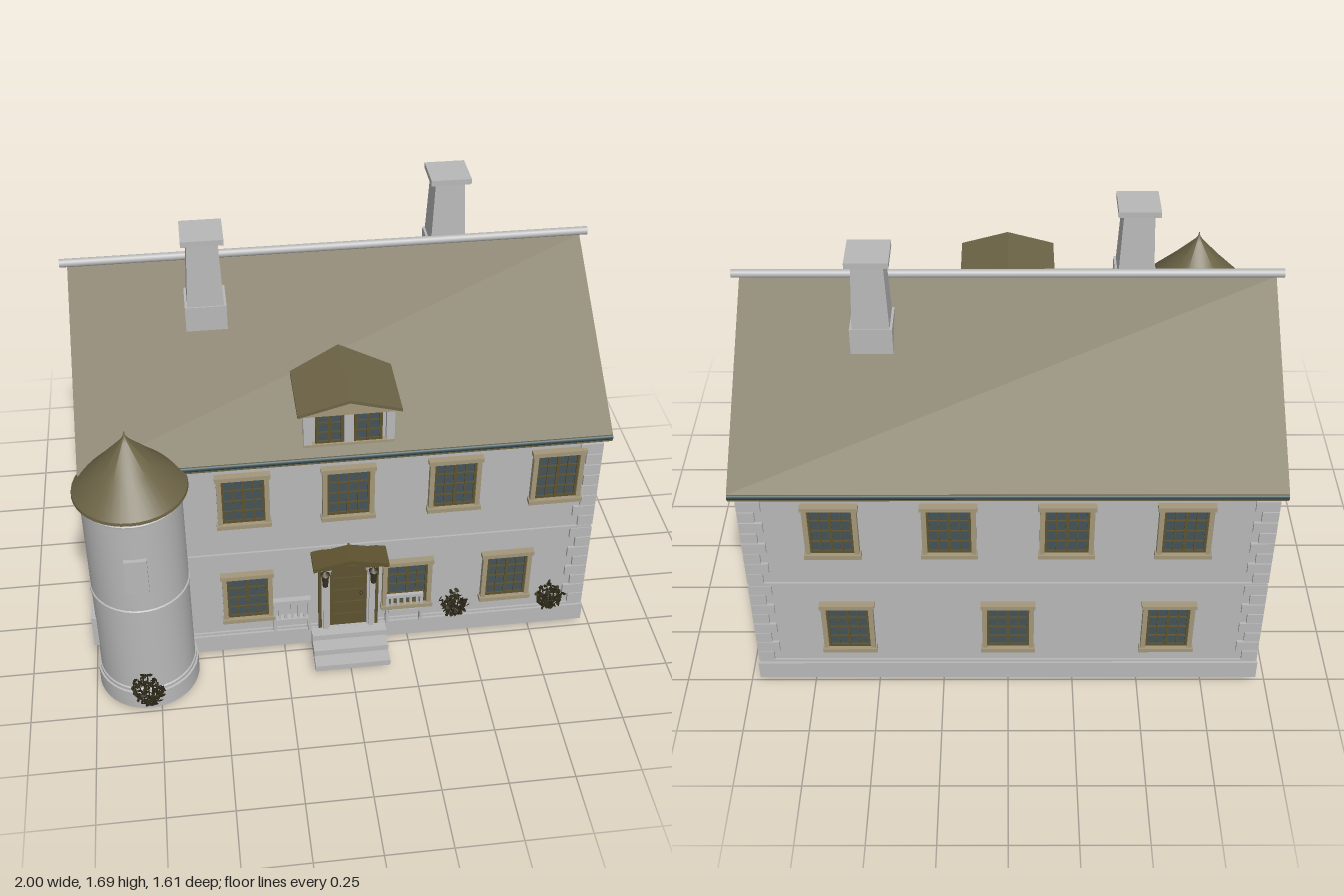
import * as THREE from 'three';
import { toCreasedNormals } from 'three/addons/utils/BufferGeometryUtils.js';

const material = (name, color, side = THREE.FrontSide) => {
  const m = new THREE.MeshStandardMaterial({ color, side });
  m.name = name;
  return m;
};
const stone = material('stone', 0xb8b8b8);
const roofing = material('roofing', 0x6c6345);
const trim = material('trim', 0xa3977a);
const wood = material('wood', 0x5d5330);
const glass = material('glass', 0x435359);
const gutterPaint = material('gutterPaint', 0x30484a);
const iron = material('iron', 0x393322);
const foliage = material('foliage', 0x2e2a19, THREE.DoubleSide);

const MID = -0.135; // z of the ridge and house centre
const WX = 0.945, WZ = 0.62; // half sizes of the walls

const add = (parent, name, geo, mat, x = 0, y = 0, z = 0) => {
  const mesh = new THREE.Mesh(geo, mat);
  mesh.name = name;
  mesh.position.set(x, y, z);
  parent.add(mesh);
  return mesh;
};
const box = (parent, name, mat, w, h, d, x, y, z) =>
  add(parent, name, new THREE.BoxGeometry(w, h, d), mat, x, y, z);
const group = (parent, name, x = 0, y = 0, z = 0, ry = 0) => {
  const g = new THREE.Group();
  g.name = name;
  g.position.set(x, y, z);
  g.rotation.y = ry;
  parent.add(g);
  return g;
};
const polygon = (pts) => new THREE.Shape(pts.map((p) => new THREE.Vector2(...p)));
const extrude = (shape, depth) =>
  new THREE.ExtrudeGeometry(shape, { depth, bevelEnabled: false, curveSegments: 16 });
const lathe = (pts) =>
  toCreasedNormals(new THREE.LatheGeometry(pts.map((p) => new THREE.Vector2(...p)), 40), 0.6);
// Gabled slab, running along z
const chevron = (w, eave, apex, t, depth) =>
  extrude(polygon([[-w, eave - t], [0, apex - t], [w, eave - t], [w, eave], [0, apex], [-w, eave]]), depth);
const arch = (w, bottom, spring) => {
  const s = new THREE.Shape();
  s.moveTo(-w, bottom);
  s.lineTo(w, bottom);
  s.lineTo(w, spring);
  s.absarc(0, spring, w, 0, Math.PI, false);
  s.closePath();
  return s;
};

// Glass pane with glazing bars, facing +z
function panes(g, w, h, cols, rows, y = 0, x = 0) {
  box(g, 'pane', glass, w, h, 0.008, x, y, 0.005);
  for (let i = 0; i <= cols; i++) {
    const t = i === 0 || i === cols || i * 2 === cols ? 0.011 : 0.005;
    box(g, 'glazingBar', wood, t, h, 0.008, x + (i / cols - 0.5) * (w - 0.008), y, 0.011);
  }
  for (let i = 0; i <= rows; i++) {
    const t = i === 0 || i === rows ? 0.011 : 0.005;
    box(g, 'glazingRail', wood, w, t, 0.0075, x, y + (i / rows - 0.5) * (h - 0.008), 0.011);
  }
}

function sashWindow(parent, x, y, z, ry) {
  const g = group(parent, 'window', x, y, z, ry);
  panes(g, 0.16, 0.205, 4, 4);
  for (const s of [-1, 1]) box(g, 'windowJamb', trim, 0.018, 0.22, 0.024, s * 0.088, 0, 0.012);
  box(g, 'windowHead', trim, 0.205, 0.018, 0.028, 0, 0.113, 0.014);
  box(g, 'windowSill', trim, 0.205, 0.018, 0.034, 0, -0.113, 0.015);
}

// Leafy plant: stems with small pointed leaves
function shrub(parent, x, y, z, height, width) {
  const g = group(parent, 'shrub', x, y, z);
  let seed = 7 + Math.round(Math.abs(x) * 100);
  const rnd = () => (seed = (seed * 16807) % 2147483647) / 2147483647;
  const leaf = new THREE.CircleGeometry(0.011, 5);
  leaf.scale(0.75, 1.2, 1);
  for (let i = 0; i < 7; i++) {
    const lean = (i / 6 - 0.5) * width, top = height * (1 - Math.abs(i - 2.5) * 0.13);
    const curve = new THREE.QuadraticBezierCurve3(
      new THREE.Vector3(lean * 0.2, 0, 0),
      new THREE.Vector3(lean * 0.8, top * 0.4, 0.008),
      new THREE.Vector3(lean, top, 0));
    add(g, 'stem', new THREE.TubeGeometry(curve, 4, 0.0025, 4), foliage);
    for (let k = 1; k <= 13; k++) {
      const p = curve.getPoint(k / 13);
      const m = add(g, 'leaf', leaf, foliage, p.x + (rnd() - 0.5) * 0.022, p.y, p.z + (rnd() - 0.5) * 0.02);
      m.rotation.set(rnd() - 0.5, (rnd() - 0.5) * 1.6, (rnd() - 0.5) * 2.4);
    }
  }
}

function chimney(parent, x, z) {
  const g = group(parent, 'chimney', x, 0, z);
  box(g, 'chimneyBase', stone, 0.152, 0.17, 0.145, 0, 1.325, 0);
  const shaft = new THREE.CylinderGeometry(0.112 / Math.SQRT2, 0.134 / Math.SQRT2, 0.26, 4);
  shaft.rotateY(Math.PI / 4);
  add(g, 'chimneyShaft', toCreasedNormals(shaft, 0.3), stone, 0, 1.54, 0);
  box(g, 'chimneyCap', stone, 0.154, 0.022, 0.154, 0, 1.678, 0);
}

function bench(parent, x, y, height) {
  const g = group(parent, 'bench', x, y, 0.49);
  for (const s of [-1, 1]) box(g, 'benchPost', stone, 0.012, height, 0.024, s * 0.068, height / 2, 0.012);
  box(g, 'benchTopRail', stone, 0.148, 0.014, 0.024, 0, height - 0.007, 0.012);
  box(g, 'benchSeat', stone, 0.13, 0.014, 0.03, 0, 0.07, 0.014);
  for (let i = -2; i <= 2; i++)
    box(g, 'benchSlat', stone, 0.01, height - 0.08, 0.01, i * 0.025, height / 2 + 0.035, 0.018);
}

export function createModel() {
  const house = new THREE.Group();
  house.name = 'house';

  // Walls with gables, plinth and bands
  const walls = extrude(polygon([[-WZ, 0.1], [WZ, 0.1], [WZ, 1.0], [0, 1.45], [-WZ, 1.0]]), WX * 2);
  walls.rotateY(Math.PI / 2);
  add(house, 'walls', walls, stone, -WX, 0, MID);
  box(house, 'foundation', stone, 1.82, 0.05, 1.175, 0, 0.025, MID);
  box(house, 'plinth', stone, 1.92, 0.08, 1.274, 0, 0.08, MID);
  for (const [y, h, o] of [[0.125, 0.01, 0.008], [0.537, 0.014, 0.008], [0.986, 0.02, 0.009]])
    box(house, 'wallBand', stone, 2 * (WX + o), h, 2 * (WZ + o), 0, y, MID);

  // Corner quoins
  for (const sx of [-1, 1]) for (const sz of [-1, 1]) for (const y0 of [0.13, 0.545])
    for (let i = 0; i < 8; i++) {
      const long = i % 2, w = long ? 0.085 : 0.06, d = long ? 0.036 : 0.06, o = 0.011;
      box(house, 'quoin', stone, w, 0.046, d, sx * (WX + o - w / 2),
        y0 + 0.026 + i * 0.0505, MID + sz * (WZ + o - d / 2));
    }

  // Main roof, ridge and gutters
  const roof = chevron(0.665, 1.015, 1.475, 0.03, 1.945);
  roof.rotateY(Math.PI / 2);
  add(house, 'roof', roof, roofing, -0.9725, 0, MID);
  const bar = (name, mat, r, len, y, z) => {
    const geo = new THREE.CylinderGeometry(r, r, len, 16);
    geo.rotateZ(Math.PI / 2);
    add(house, name, geo, mat, 0, y, z);
  };
  bar('ridge', stone, 0.016, 2, 1.49, MID);
  for (const s of [-1, 1]) bar('gutter', gutterPaint, 0.011, 1.945, 1.003, MID + s * 0.661);
  chimney(house, -0.475, 0.032);
  chimney(house, 0.483, -0.305);

  // Windows on the four sides
  const UP = 0.812, LOW = 0.32, front = MID + WZ, back = MID - WZ;
  for (const x of [-0.39, 0, 0.4, 0.79]) sashWindow(house, x, UP, front, 0);
  for (const x of [-0.39, 0.235, 0.63]) sashWindow(house, x, LOW, front, 0);
  for (const x of [-0.63, -0.21, 0.21, 0.63]) sashWindow(house, x, UP, back, Math.PI);
  for (const x of [-0.6, 0, 0.6]) sashWindow(house, x, LOW, back, Math.PI);
  for (const z of [0.062, -0.34]) {
    sashWindow(house, WX, UP, z, Math.PI / 2);
    sashWindow(house, WX, LOW, z, Math.PI / 2);
    sashWindow(house, -WX, UP, z, -Math.PI / 2);
  }
  sashWindow(house, -WX, LOW, -0.14, -Math.PI / 2);

  // Round corner tower
  const tower = group(house, 'tower', -0.79, 0, 0.573);
  add(tower, 'towerWall', lathe([[0, 0.04], [0.193, 0.04], [0.193, 0.12], [0.186, 0.122], [0.186, 0.135],
    [0.181, 0.138], [0.181, 0.53], [0.186, 0.533], [0.186, 0.544], [0.181, 0.547], [0.181, 0.94],
    [0.187, 0.945], [0.187, 0.955], [0.183, 0.96], [0.19, 0.985]]), stone);
  add(tower, 'towerRoof', lathe([[0, 0.98], [0.207, 0.98], [0.205, 0.992], [0.11, 1.09],
    [0.018, 1.192], [0.005, 1.212], [0, 1.235]]), roofing);
  box(tower, 'towerPanel', stone, 0.082, 0.15, 0.03, 0, 0.725, 0.18);
  box(tower, 'towerPanel', stone, 0.03, 0.14, 0.082, -0.18, 0.318, 0);

  // Dormer
  const dormer = group(house, 'dormer');
  box(dormer, 'dormerBody', stone, 0.3, 0.21, 0.28, 0, 1.1, 0.345);
  add(dormer, 'dormerGable', extrude(polygon([[-0.168, 1.19], [0.168, 1.19], [0, 1.242]]), 0.32), trim, 0, 0, 0.2);
  add(dormer, 'dormerRoof', chevron(0.187, 1.206, 1.258, 0.013, 0.358), roofing, 0, 0, 0.17);
  const dormerFront = group(dormer, 'dormerWindows', 0, 1.122, 0.485);
  for (const s of [-1, 1]) {
    panes(dormerFront, 0.1, 0.135, 2, 3, 0, s * 0.07);
    box(dormerFront, 'dormerPost', stone, 0.03, 0.15, 0.022, s * 0.15, 0, 0.01);
  }
  box(dormerFront, 'dormerPost', stone, 0.034, 0.15, 0.02, 0, 0, 0.01);
  box(dormerFront, 'dormerSill', trim, 0.33, 0.01, 0.024, 0, -0.073, 0.01);

  // Entrance: arched door, surround, canopy, lamps and steps
  const entrance = group(house, 'entrance', 0.003, 0, front);
  const surround = polygon([[-0.115, 0.12], [0.115, 0.12], [0.115, 0.5], [-0.115, 0.5]]);
  surround.holes.push(arch(0.073, 0.12, 0.39));
  add(entrance, 'doorSurround', extrude(surround, 0.018), stone);
  const ring = new THREE.TorusGeometry(0.083, 0.009, 6, 24, Math.PI);
  add(entrance, 'doorArch', ring, stone, 0, 0.39, 0.018);
  add(entrance, 'door', extrude(arch(0.073, 0.12, 0.39), 0.01), wood);
  for (let i = 0; i < 4; i++) box(entrance, 'doorBatten', wood, 0.12, 0.006, 0.006, 0, 0.18 + i * 0.065, 0.012);
  add(entrance, 'doorKnob', new THREE.SphereGeometry(0.007, 10, 8), iron, 0.05, 0.29, 0.016);
  add(entrance, 'canopyRoof', chevron(0.145, 0.515, 0.545, 0.018, 0.1), wood);
  box(entrance, 'canopyBeam', wood, 0.24, 0.016, 0.02, 0, 0.498, 0.075);
  for (const s of [-1, 1]) {
    box(entrance, 'doorPilaster', stone, 0.018, 0.36, 0.03, s * 0.09, 0.3, 0.015);
    box(entrance, 'canopyPost', wood, 0.012, 0.36, 0.016, s * 0.112, 0.3, 0.012);
    const brace = box(entrance, 'canopyBracket', wood, 0.014, 0.014, 0.09, s * 0.105, 0.482, 0.042);
    brace.rotation.x = -0.4;
    const lamp = group(entrance, 'lamp', s * 0.094, 0.4, 0.042);
    add(lamp, 'lampBody', new THREE.CylinderGeometry(0.016, 0.011, 0.06, 6), iron);
    add(lamp, 'lampCap', new THREE.ConeGeometry(0.021, 0.02, 6), iron, 0, 0.04, 0);
    box(lamp, 'lampHanger', iron, 0.004, 0.05, 0.004, 0, 0.07, 0);
  }
  for (let i = 0; i < 3; i++) {
    const depth = 0.175 - i * 0.057;
    box(entrance, 'step', stone, 0.295, 0.026, depth, 0, 0.053 + i * 0.026, depth / 2);
  }

  // Benches and planting
  bench(house, -0.22, 0.12, 0.17);
  bench(house, 0.226, 0.12, 0.15);
  shrub(house, -0.79, 0.08, 0.787, 0.18, 0.11);
  shrub(house, 0.43, 0.12, 0.5, 0.14, 0.1);
  shrub(house, 0.82, 0.12, 0.5, 0.14, 0.1);
  return house;
}
